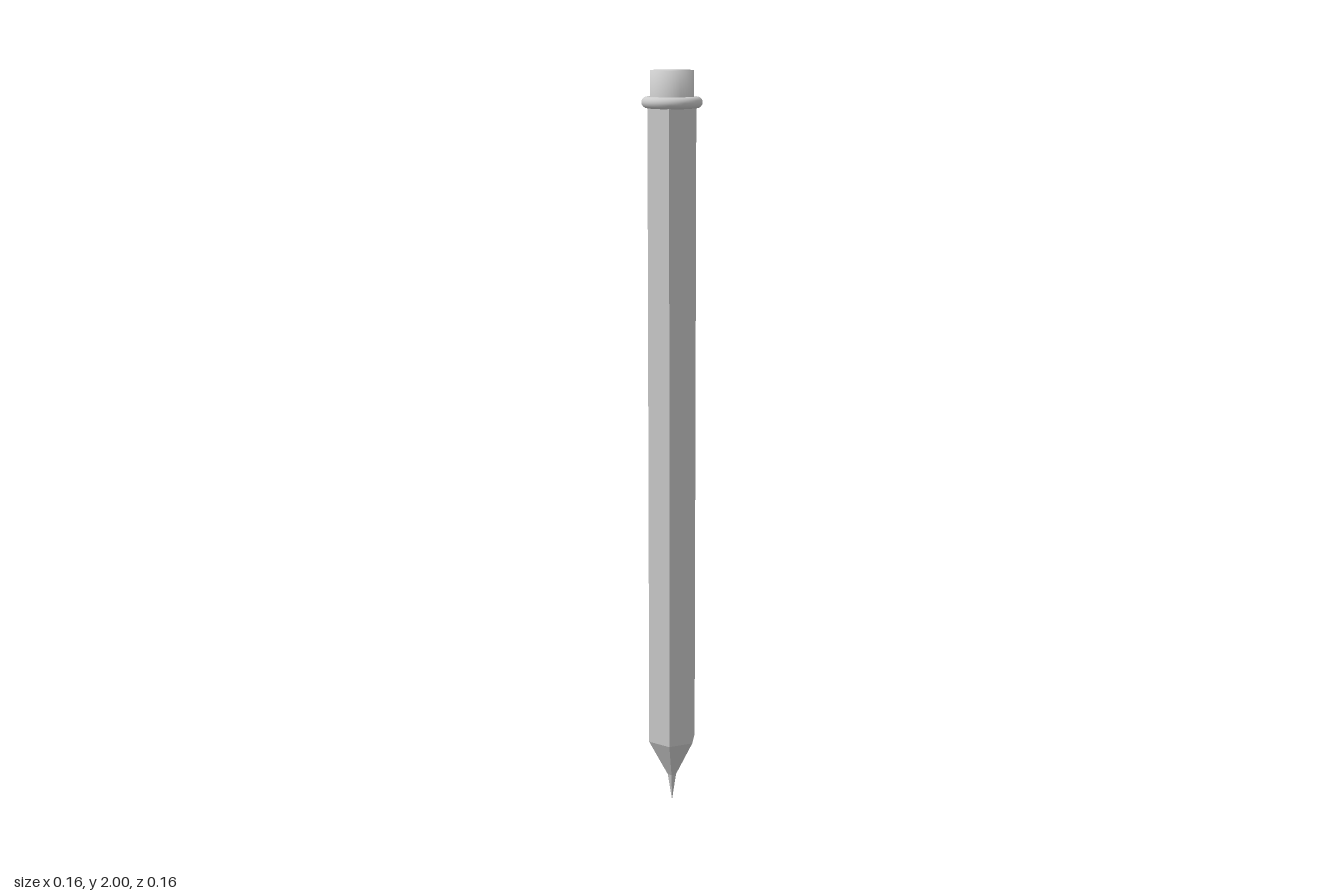
import * as THREE from 'three';

export function createModel() {
  const model = new THREE.Group();
  const add = (name, geometry, y, flatShading = false) => {
    const material = new THREE.MeshStandardMaterial({ color: 0xcccccc, flatShading });
    const mesh = new THREE.Mesh(geometry, material);
    mesh.name = name;
    mesh.position.y = y;
    model.add(mesh);
    return mesh;
  };

  // Six-sided section between two heights, corners on the z axis
  const hexSection = (name, rTop, rBottom, yBottom, yTop, open) =>
    add(name, new THREE.CylinderGeometry(rTop, rBottom, yTop - yBottom, 6, 1, open),
      (yBottom + yTop) / 2, true);

  // Barrel, sharpened wood and fine lead point
  hexSection('barrel', 0.069, 0.069, 0.18, 1.915, false);
  hexSection('sharpenedWood', 0.069, 0.013, 0.075, 0.18, true);
  hexSection('leadPoint', 0.013, 0.0005, 0, 0.075, false);

  // Rounded collar around the top of the barrel
  const collar = add('collar', new THREE.TorusGeometry(0.064, 0.015, 16, 48), 1.919);
  collar.rotation.x = Math.PI / 2;

  // Eraser, shaded softly over its rim
  const profile = [[0.057, 1.91], [0.057, 2], [0, 2]].map(([r, y]) => new THREE.Vector2(r, y));
  add('eraser', new THREE.LatheGeometry(profile, 48), 0);

  return model;
}
